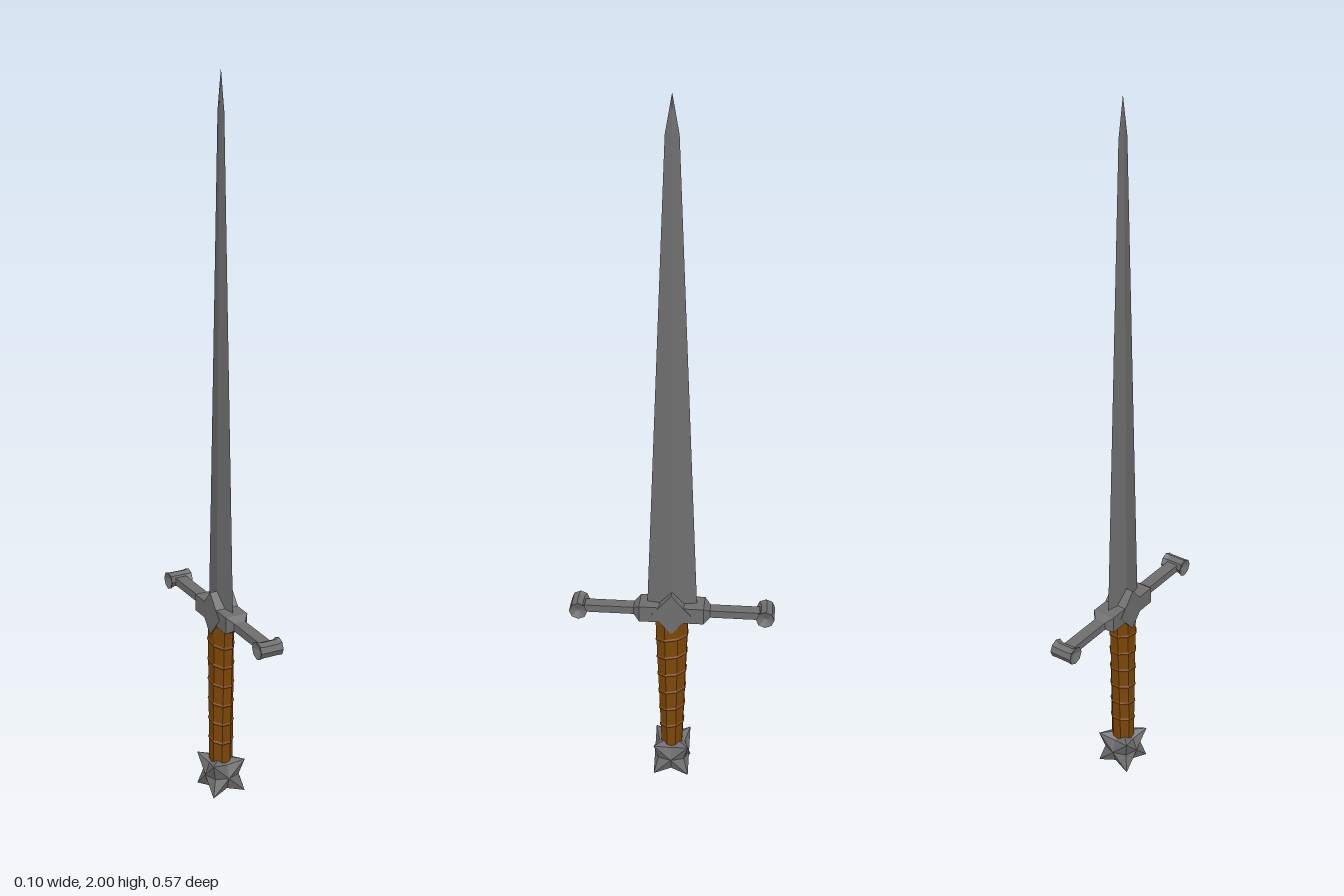
import * as THREE from 'three';

const steel = new THREE.MeshStandardMaterial({ color: 0x6e6e6e, flatShading: true });
const leather = new THREE.MeshStandardMaterial({ color: 0x7c4606, flatShading: true });

function fromTriangles(pts) {
  const g = new THREE.BufferGeometry().setFromPoints(pts);
  g.computeVertexNormals();
  return g;
}

// Flat-sided ring around the y axis; rx and rz reach the flats (or corners when phase is 0)
function ring(n, y, rx, rz, phase = Math.PI / n, shear = 0) {
  const k = 1 / Math.cos(phase);
  return Array.from({ length: n }, (_, i) => {
    const a = phase + (i / n) * Math.PI * 2;
    const z = -rz * k * Math.sin(a);
    return new THREE.Vector3(rx * k * Math.cos(a), y + shear * z, z);
  });
}

// Skin a stack of rings, closing both ends with fans; end centres may be pulled in or out
function loft(rings, bulge = 0) {
  const pts = [];
  const n = rings[0].length;
  const centre = (r) => r.reduce((s, p) => s.add(p), new THREE.Vector3()).divideScalar(n);
  const first = rings[0], last = rings[rings.length - 1];
  const c0 = centre(first), c1 = centre(last);
  c0.y -= bulge;
  c1.y += bulge;
  for (let i = 0; i < n; i++) {
    const j = (i + 1) % n;
    for (let s = 0; s < rings.length - 1; s++) {
      const a = rings[s], b = rings[s + 1];
      pts.push(a[i], a[j], b[j], a[i], b[j], b[i]);
    }
    pts.push(c0, first[j], first[i], c1, last[i], last[j]);
  }
  return fromTriangles(pts);
}

// Cube with its edge midpoints pulled in, so the eight corners stand out as spikes
function spikedCube(r, mid) {
  const pts = [];
  for (const sx of [-1, 1]) for (const sy of [-1, 1]) for (const sz of [-1, 1]) {
    const s = [sx, sy, sz];
    for (let a = 0; a < 3; a++) for (const step of [1, 2]) {
      const b = (a + step) % 3;
      const corner = new THREE.Vector3(sx, sy, sz).multiplyScalar(r);
      const face = new THREE.Vector3().setComponent(a, s[a] * r);
      const edge = new THREE.Vector3().setComponent(a, s[a] * mid).setComponent(b, s[b] * mid);
      const ccw = sx * sy * sz * (step === 1 ? 1 : -1) > 0;
      pts.push(face, ...(ccw ? [edge, corner] : [corner, edge]));
    }
  }
  return fromTriangles(pts);
}

export function createModel() {
  const model = new THREE.Group();
  const add = (name, geometry, material, y = 0, z = 0) => {
    const mesh = new THREE.Mesh(geometry, material);
    mesh.name = name;
    mesh.position.set(0, y, z);
    model.add(mesh);
  };

  // Blade: diamond section, tapering to a short point
  const blade = [[0.55, 0.013, 0.07], [1.9, 0.004, 0.018], [2, 0.0005, 0.0005]];
  add('blade', loft(blade.map(([y, x, z]) => ring(4, y, x, z, 0))), steel);

  // Crossguard: thick block in the middle, chamfered down to slim arms
  const arm = [[0.245, 0.017, 0.011], [0.107, 0.017, 0.011], [0.09, 0.033, 0.024]];
  const guard = [
    ...arm.map(([d, w, h]) => ring(4, -d, w, h)),
    ...arm.slice().reverse().map(([d, w, h]) => ring(4, d, w, h)),
  ];
  add('crossguard', loft(guard).rotateX(Math.PI / 2), steel, 0.546);

  // Diamond boss across the middle of the guard
  const boss = loft([ring(4, -0.034, 0.063, 0.055, 0), ring(4, 0.034, 0.063, 0.055, 0)]);
  add('guardBoss', boss.rotateZ(Math.PI / 2), steel, 0.547);

  // Guard knobs: waisted octagonal spools with dished ends
  for (const side of [1, -1]) {
    const profile = [[-0.033, 0.0255], [-0.021, 0.022], [0.021, 0.022], [0.033, 0.0255]];
    const rings = profile.map(([y, r]) => {
      const loop = ring(8, y, r, r, 0);
      loop.forEach((p) => { p.z += side * (0.0255 - r); });
      return loop;
    });
    add(side > 0 ? 'frontKnob' : 'backKnob', loft(rings, -0.01).rotateZ(Math.PI / 2),
      steel, 0.546, side * 0.261);
  }

  // Grip: octagonal, widening towards the guard, with low slanted wrap ridges
  const gripZ = (y) => 0.029 + ((y - 0.08) / 0.45) * 0.017;
  const section = (y, extra) => ring(8, y, 0.031 + extra, gripZ(y) + extra, Math.PI / 8, -0.2);
  const grip = [section(0.08, 0)];
  for (let i = 0; i < 6; i++) {
    const y = 0.16 + i * 0.06;
    grip.push(section(y - 0.005, 0), section(y, 0.0025), section(y + 0.005, 0));
  }
  grip.push(section(0.53, 0));
  add('grip', loft(grip), leather);

  // Pommel
  add('pommel', spikedCube(0.05, 0.037), steel, 0.05);

  return model;
}
